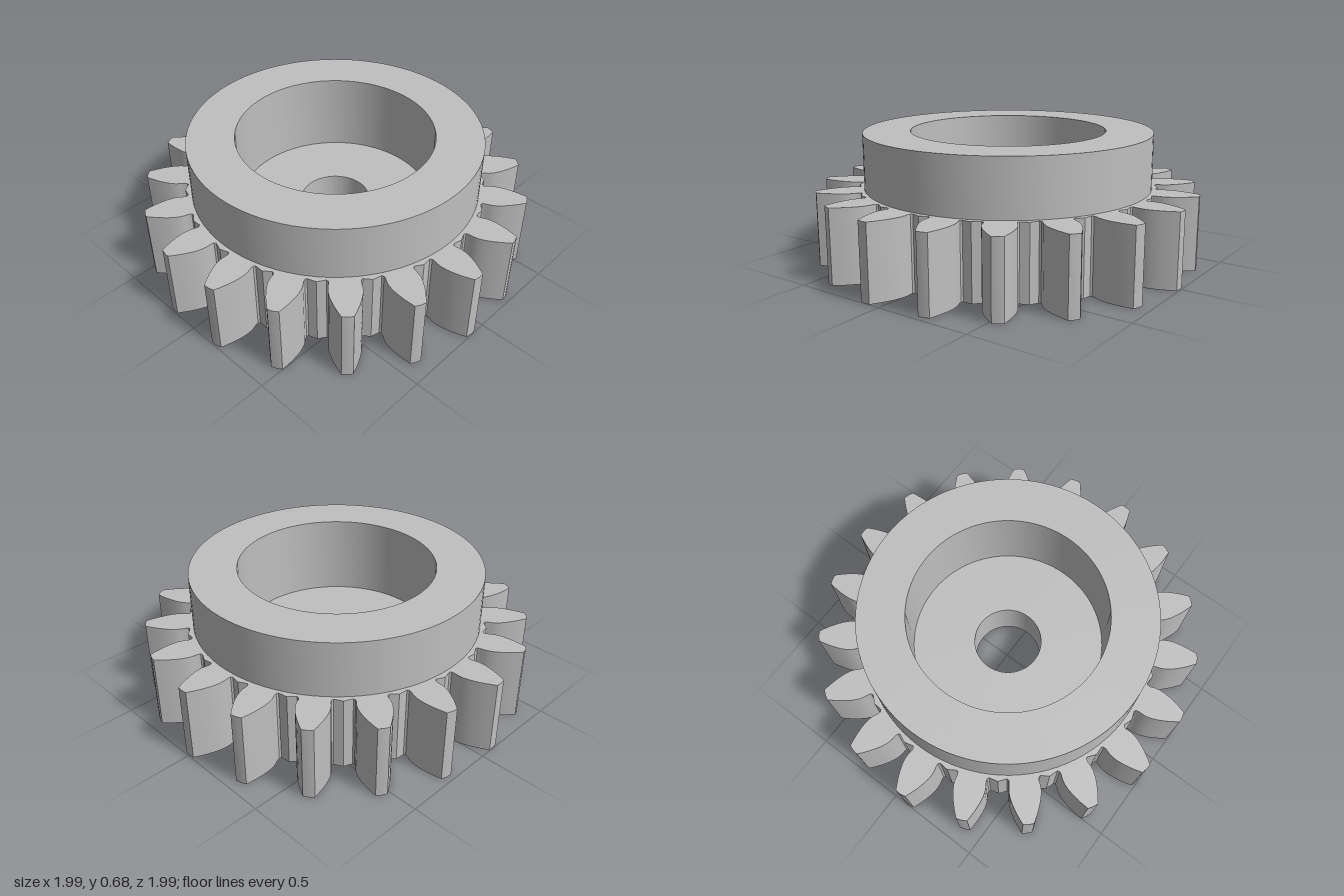
import * as THREE from 'three';
import { toCreasedNormals } from 'three/addons/utils/BufferGeometryUtils.js';

const TEETH = 19;
const SEGMENTS = 96;
const GEAR_HEIGHT = 0.385;
const HUB_TOP = 0.675;
const HUB_RADIUS = 0.755;
const RECESS_RADIUS = 0.51;
const RECESS_FLOOR = 0.255;
const BORE_RADIUS = 0.18;

// One tooth pointing along +x: [distance from centre, half width], root to tip
const FLANK = [
  [0.768, 0.083], [0.776, 0.075], [0.79, 0.074], [0.815, 0.079], [0.84, 0.08],
  [0.87, 0.076], [0.9, 0.068], [0.935, 0.056], [0.97, 0.041], [0.997, 0.028],
];

function gearOutline() {
  const tooth = [
    ...FLANK.map(([r, w]) => new THREE.Vector2(r, -w)),
    new THREE.Vector2(1, 0),
    ...[...FLANK].reverse().map(([r, w]) => new THREE.Vector2(r, w)),
  ];
  const origin = new THREE.Vector2();
  const points = [];
  for (let i = 0; i < TEETH; i++) {
    const angle = (i / TEETH) * Math.PI * 2;
    for (const p of tooth) points.push(p.clone().rotateAround(origin, angle));
    // Middle of the root land between two teeth
    const mid = angle + Math.PI / TEETH;
    points.push(new THREE.Vector2(Math.cos(mid), Math.sin(mid)).multiplyScalar(0.787));
  }
  return points;
}

export function createModel() {
  const group = new THREE.Group();
  group.name = 'spurGear';
  const metal = new THREE.MeshStandardMaterial({ color: 0xbfbfbf });
  metal.name = 'grey metal';

  // Toothed rim, open in the middle where the core sits
  const shape = new THREE.Shape(gearOutline());
  const hole = [];
  for (let i = 0; i < SEGMENTS; i++) {
    const a = (i / SEGMENTS) * Math.PI * 2;
    hole.push(new THREE.Vector2(Math.cos(a) * HUB_RADIUS, Math.sin(a) * HUB_RADIUS));
  }
  shape.holes.push(new THREE.Path(hole));
  const rimGeometry = new THREE.ExtrudeGeometry(shape, { depth: GEAR_HEIGHT, bevelEnabled: false });
  rimGeometry.rotateX(-Math.PI / 2);
  const rim = new THREE.Mesh(toCreasedNormals(rimGeometry, 0.5), metal);
  rim.name = 'toothedRim';

  // Core: hub wall, wide recess and narrow through bore
  const profile = [
    [BORE_RADIUS, 0], [HUB_RADIUS, 0], [HUB_RADIUS, GEAR_HEIGHT], [HUB_RADIUS, HUB_TOP],
    [RECESS_RADIUS, HUB_TOP], [RECESS_RADIUS, RECESS_FLOOR],
    [BORE_RADIUS, RECESS_FLOOR], [BORE_RADIUS, 0],
  ].map(([r, y]) => new THREE.Vector2(r, y));
  const core = new THREE.Mesh(
    toCreasedNormals(new THREE.LatheGeometry(profile, SEGMENTS), 0.5), metal);
  core.name = 'hubWithBore';

  group.add(rim, core);
  // The odd tooth count makes the outline slightly wider on +x
  group.position.x = -0.006;
  return group;
}
